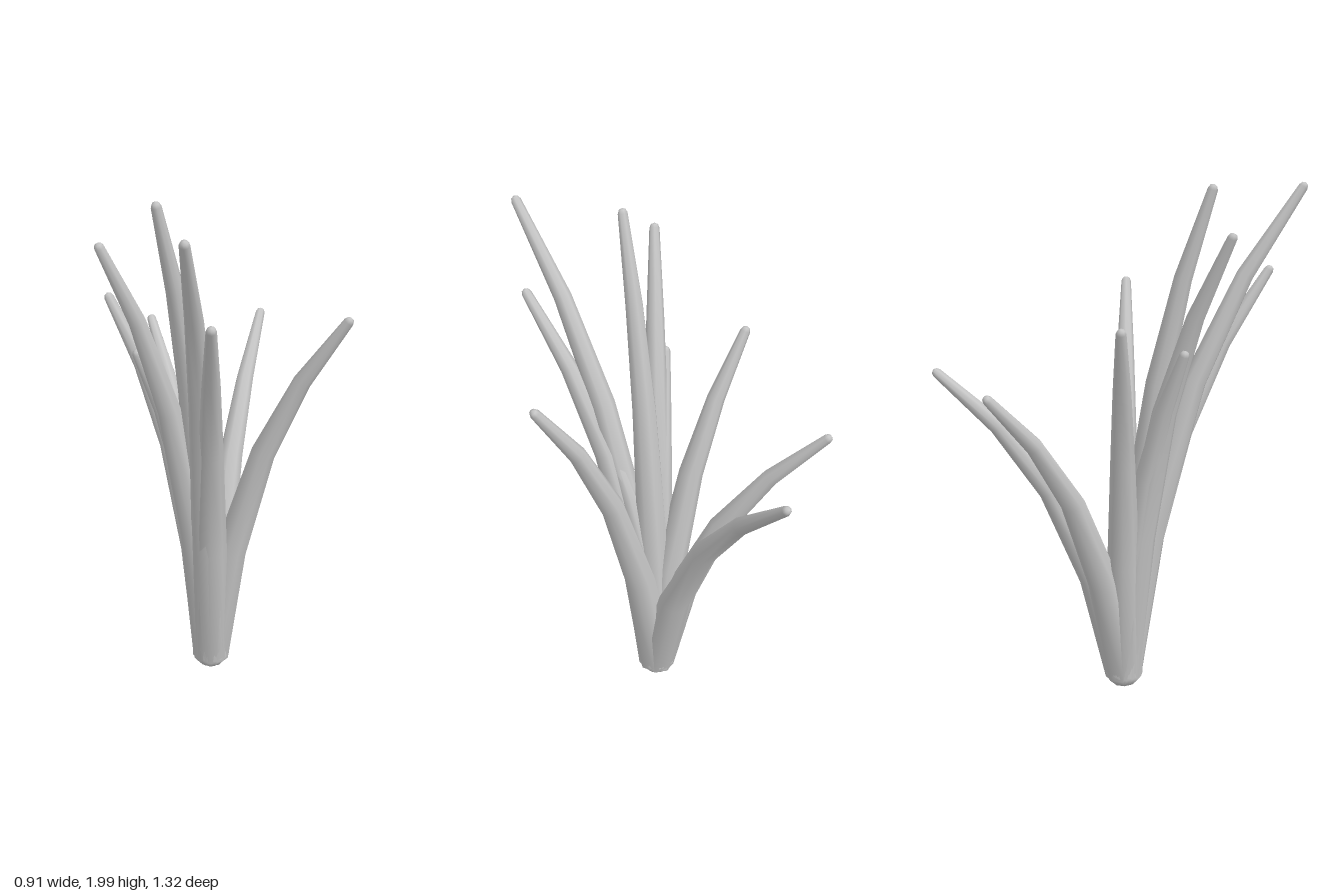
import * as THREE from 'three';
import { mergeVertices } from 'three/addons/utils/BufferGeometryUtils.js';

const SIDES = 8;
const BASE = new THREE.Vector3(-0.02, 0.06, -0.015);
// Bend shared by all stalks: [share of sideways reach, share of height, radius]
const BEND = [[0, 0, 0.074], [0.16, 0.33, 0.062], [0.4, 0.62, 0.047], [0.68, 0.83, 0.034], [1, 1, 0.019]];
// Centre of each stalk's rounded tip
const TIPS = [
  [-0.165, 1.29, -0.63], [0.29, 1.29, -0.64], [-0.375, 1.525, -0.215],
  [-0.44, 1.835, 0.188], [-0.245, 1.98, 0.225], [-0.208, 1.96, 0.64],
  [-0.11, 1.64, 0.562], [0.44, 1.535, 0.242], [-0.305, 1.40, 0.08], [-0.05, 1.02, 0.17],
];

// A tapered round rod with domed ends, bent outward towards its tip
function stalkGeometry(tip) {
  const out = new THREE.Vector3(tip.x - BASE.x, 0, tip.z - BASE.z);
  const rise = tip.y - BASE.y;
  const centres = BEND.map(([h, v]) => BASE.clone().addScaledVector(out, h).setY(BASE.y + v * rise));
  const last = BEND.length - 1;
  const tangents = centres.map((c, i) => {
    const before = c.clone().sub(centres[Math.max(i - 1, 0)]).normalize();
    const after = centres[Math.min(i + 1, last)].clone().sub(c).normalize();
    return before.add(after).normalize();
  });
  const side = out.clone().cross(new THREE.Vector3(0, 1, 0)).normalize();

  // Rings: knot, radius and shift along the stalk
  const rings = BEND.map(([, , r], k) => ({ k, r, shift: 0 }));
  const [rBase, rTip] = [BEND[0][2], BEND[last][2]];
  rings.unshift({ k: 0, r: 0, shift: -0.05 }, { k: 0, r: rBase * 0.65, shift: -0.038 });
  rings.push({ k: last, r: rTip * 0.7, shift: rTip * 0.7 }, { k: last, r: 0, shift: rTip });

  const geo = new THREE.LatheGeometry(rings.map((g, i) => new THREE.Vector2(g.r, i)), SIDES);
  const pos = geo.attributes.position;
  const p = new THREE.Vector3();
  for (let i = 0; i < pos.count; i++) {
    p.fromBufferAttribute(pos, i);
    const { k, shift } = rings[Math.round(p.y)];
    const t = tangents[k];
    const normal = t.clone().cross(side);
    const q = centres[k].clone().addScaledVector(t, shift)
      .addScaledVector(normal, p.x).addScaledVector(side, p.z);
    pos.setXYZ(i, q.x, q.y, q.z);
  }
  // Close the seam so shading stays smooth all round
  geo.deleteAttribute('uv');
  geo.deleteAttribute('normal');
  const closed = mergeVertices(geo, 1e-4);
  closed.computeVertexNormals();
  return closed;
}

export function createModel() {
  const group = new THREE.Group();
  group.name = 'stalkCluster';
  const grey = new THREE.MeshStandardMaterial({ color: 0xc6c6c6 });
  grey.name = 'light grey';
  TIPS.forEach((t, i) => {
    const stalk = new THREE.Mesh(stalkGeometry(new THREE.Vector3(...t)), grey);
    stalk.name = `stalk${i + 1}`;
    group.add(stalk);
  });
  return group;
}
